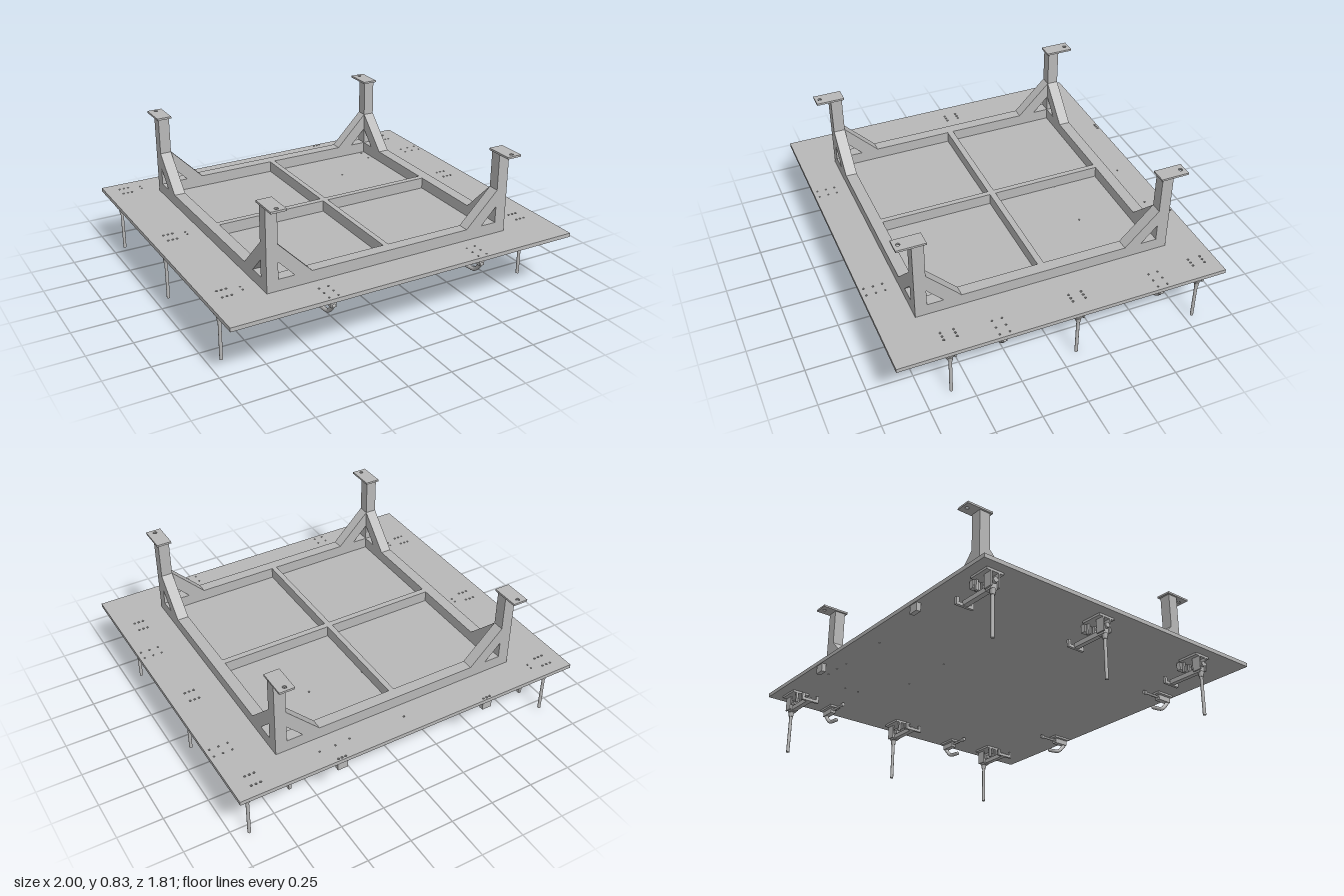
import * as THREE from 'three';

const steel = new THREE.MeshStandardMaterial({ color: 0xb8b8b8 });
steel.name = 'steelGrey';

function add(parent, geo, name, x = 0, y = 0, z = 0) {
  const m = new THREE.Mesh(geo, steel);
  m.name = name;
  m.position.set(x, y, z);
  parent.add(m);
  return m;
}

// Box given by its min and max on each axis
function box(parent, name, x0, x1, y0, y1, z0, z1) {
  return add(parent, new THREE.BoxGeometry(x1 - x0, y1 - y0, z1 - z0), name,
    (x0 + x1) / 2, (y0 + y1) / 2, (z0 + z1) / 2);
}

// Horizontal cylinder along x
function rodX(parent, name, r, x0, x1, y, z = 0) {
  const m = add(parent, new THREE.CylinderGeometry(r, r, x1 - x0, 12), name, (x0 + x1) / 2, y, z);
  m.rotation.z = Math.PI / 2;
}

// Flat rectangular plate lying in xz with round through holes [x, z, r]
function drilledPlate(hx, hz, thickness, holes) {
  const s = new THREE.Shape([[-hx, -hz], [hx, -hz], [hx, hz], [-hx, hz]].map(p => new THREE.Vector2(...p)));
  for (const [x, z, r] of holes) {
    const h = new THREE.Path();
    h.absarc(x, -z, r, 0, Math.PI * 2, true);
    s.holes.push(h);
  }
  const g = new THREE.ExtrudeGeometry(s, { depth: thickness, bevelEnabled: false, curveSegments: 5 });
  return g.rotateX(-Math.PI / 2);
}

function tableHoles() {
  const holes = [];
  const grid = (xs, zs, r = 0.006) => xs.forEach(x => zs.forEach(z => holes.push([x, z, r])));
  for (const z of [-0.8, -0.1, 0.595]) {
    grid([-0.915, -0.89, -0.865, 0.855, 0.88, 0.905], [z - 0.035, z + 0.035]);
    grid([-0.797], [z - 0.018, z + 0.012], 0.005);
  }
  for (const z of [0.338, -0.542]) grid([0.875, 0.925, 0.975], [z - 0.027, z + 0.027], 0.005);
  for (const x of [-0.445, 0.435]) {
    grid([x - 0.026, x + 0.026], [0.78, 0.83, 0.88], 0.005);
    grid([x - 0.02, x, x + 0.02], [-0.89]);
  }
  grid([0.01, 0.335], [-0.795, -0.385], 0.005);
  grid([0.42, 0.51], [-0.8], 0.005);
  grid([0.615], [-0.63, -0.545], 0.005);
  return holes;
}

// Diagonal brace from a post face (a) to the top of a beam, s = side sign
function braceGeometry(a, s, width) {
  const pts = [[a, 0.61], [a - 0.185, 0.422], [a - 0.09, 0.422], [a, 0.515]];
  const shape = new THREE.Shape(pts.map(([u, y]) => new THREE.Vector2(u * s, y)));
  return new THREE.ExtrudeGeometry(shape, { depth: width, bevelEnabled: false }).translate(0, 0, -width / 2);
}

function buildFrame() {
  const f = new THREE.Group();
  f.name = 'weldedFrame';
  const X = 0.711, Z = 0.708, W = 0.063, y0 = 0.358, y1 = 0.422;
  const px = X - W / 2, pz = Z - W / 2;
  for (const s of [-1, 1]) {
    add(f, new THREE.BoxGeometry(W, y1 - y0, 2 * (Z - W)), 'sideBeam', s * px, (y0 + y1) / 2, 0);
    add(f, new THREE.BoxGeometry(2 * (X - W), y1 - y0, W), 'endBeam', 0, (y0 + y1) / 2, s * pz);
  }
  box(f, 'crossBeam', -(X - W), X - W, y0, y1, -0.018, 0.016);
  box(f, 'lengthBeam', -0.016, 0.014, y0, y1, -(Z - W), Z - W);

  // Corner posts, braces and drilled caps
  for (const sx of [-1, 1]) for (const sz of [-1, 1]) {
    add(f, new THREE.BoxGeometry(W, 0.457, W), 'cornerPost', sx * px, 0.5865, sz * pz);
    add(f, braceGeometry(X - W, sx, W), 'endBrace', 0, 0, sz * pz);
    add(f, braceGeometry(Z - W, sz, W), 'sideBrace', sx * px, 0, 0).rotation.y = -Math.PI / 2;
    add(f, drilledPlate(0.042, 0.078, 0.011, [[0, sz * 0.052, 0.011]]), 'postCap', sx * px, 0.815, sz * 0.711);
  }
  f.position.set(-0.004, 0, -0.003);
  return f;
}

// Screw clamp with hanging rod; outward is local +x, origin on the rod
function rodClamp() {
  const g = new THREE.Group();
  g.name = 'rodClamp';
  add(g, new THREE.CylinderGeometry(0.009, 0.009, 0.23, 12), 'hangingRod', 0, 0.115, 0);
  add(g, new THREE.CylinderGeometry(0.016, 0.012, 0.03, 12), 'rodCollar', 0, 0.23, 0);
  box(g, 'mountPlate', -0.1, 0.02, 0.325, 0.337, -0.05, 0.05);
  for (const s of [-1, 1]) {
    box(g, 'cheekPlate', -0.03, 0.02, 0.25, 0.326, s * 0.022 - 0.004, s * 0.022 + 0.004);
    box(g, 'guideWing', -0.1, -0.085, 0.27, 0.326, s * 0.022 - 0.006, s * 0.022 + 0.006);
    box(g, 'hookEnd', -0.218, -0.203, 0.24, 0.28, s * 0.043 - 0.008, s * 0.043 + 0.008);
  }
  rodX(g, 'pivotBarrel', 0.014, -0.05, 0.024, 0.285);
  box(g, 'linkBlock', -0.03, 0.008, 0.24, 0.275, -0.018, 0.018);
  box(g, 'armBar', -0.205, -0.02, 0.243, 0.268, -0.014, 0.014);
  box(g, 'armCrossbar', -0.218, -0.203, 0.24, 0.256, -0.036, 0.036);
  return g;
}

// Toggle clamp with curved lever; outward is local +x, origin at the table edge
function toggleClamp() {
  const g = new THREE.Group();
  g.name = 'toggleClamp';
  box(g, 'clampBase', -0.135, -0.02, 0.326, 0.337, -0.032, 0.032);
  box(g, 'clampBody', -0.115, -0.025, 0.297, 0.327, -0.015, 0.015);
  rodX(g, 'spindle', 0.007, -0.215, -0.1, 0.315);
  rodX(g, 'spindleTip', 0.011, -0.226, -0.205, 0.315);
  const curve = new THREE.CatmullRomCurve3([[-0.03, 0.305], [-0.055, 0.275], [-0.085, 0.25], [-0.155, 0.24]]
    .map(([x, y]) => new THREE.Vector3(x, y, 0)));
  add(g, new THREE.TubeGeometry(curve, 14, 0.011, 10), 'curvedLever');
  add(g, new THREE.SphereGeometry(0.011, 10, 8), 'leverEnd', -0.155, 0.24, 0);
  add(g, new THREE.SphereGeometry(0.011, 10, 8), 'leverRoot', -0.03, 0.305, 0);
  return g;
}

export function createModel() {
  const model = new THREE.Group();
  model.name = 'clampingTable';

  add(model, drilledPlate(1, 0.905, 0.022, tableHoles()), 'tablePlate', 0, 0.337, 0);
  model.add(buildFrame());

  // Hanging rod clamps along both sides, with stops on the right side
  for (const z of [-0.797, -0.097, 0.604]) {
    for (const s of [-1, 1]) {
      const c = rodClamp();
      c.position.set(s * 0.92 - 0.005, 0, z);
      if (s < 0) c.rotation.y = Math.PI;
      model.add(c);
    }
    box(model, 'sideStop', -0.81, -0.785, 0.295, 0.337, z - 0.025, z + 0.02);
  }

  // Toggle clamps on the left side and front edge
  for (const z of [0.338, -0.542]) {
    const c = toggleClamp();
    c.position.set(1, 0, z);
    model.add(c);
  }
  for (const x of [-0.445, 0.435]) {
    const c = toggleClamp();
    c.position.set(x, 0, 0.905);
    c.rotation.y = -Math.PI / 2;
    model.add(c);
    box(model, 'backStop', x - 0.028, x + 0.028, 0.292, 0.337, -0.9, -0.875);
  }
  return model;
}
